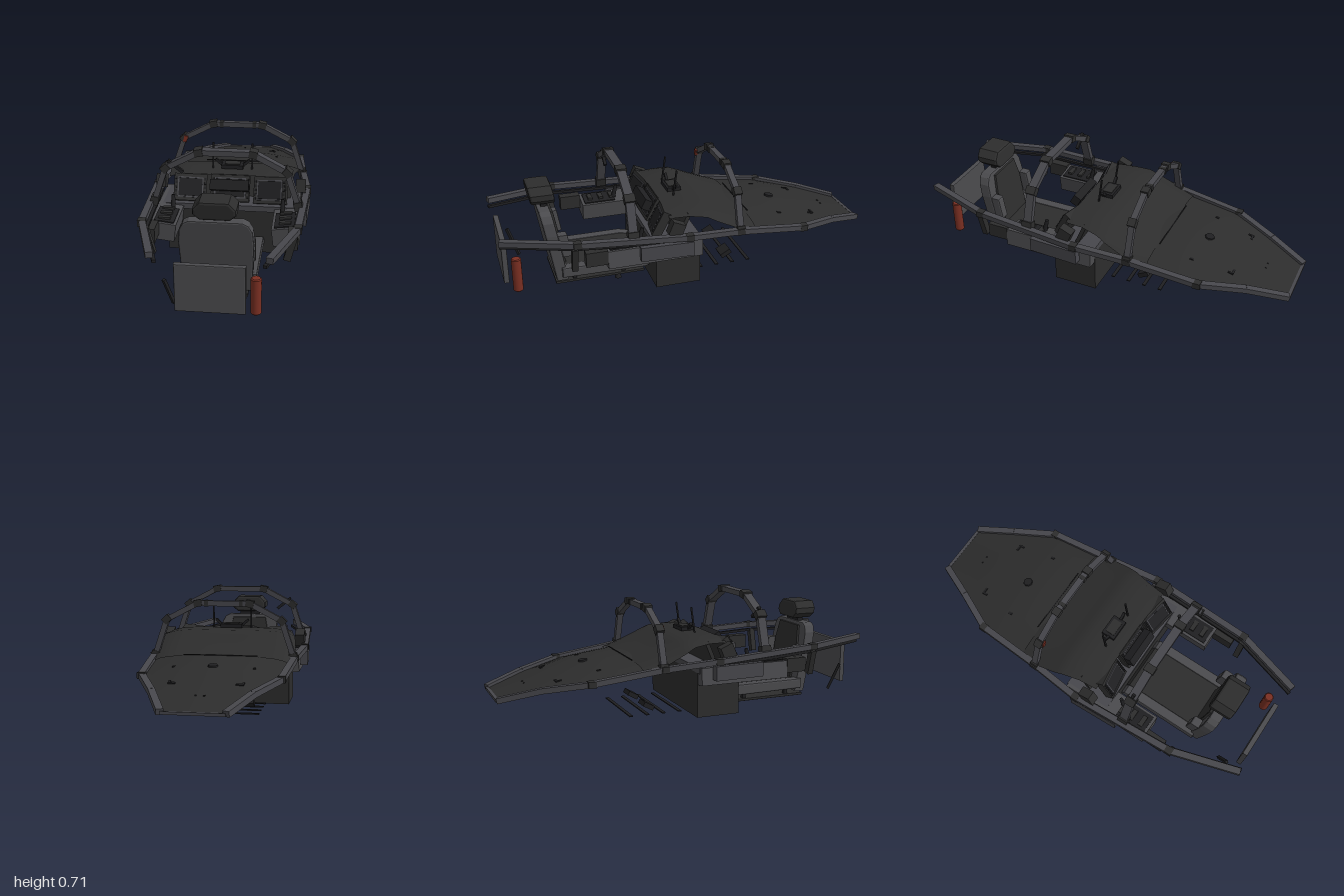
import * as THREE from 'three';

const mat = (name, color) => Object.assign(new THREE.MeshStandardMaterial({ color }), { name });

export function createModel() {
  const root = new THREE.Group();
  root.name = 'cockpit';
  const frame = mat('frame grey', 0x47474c);
  const grey = mat('seat grey', 0x4b4b4e);
  const dark = mat('dark shell', 0x2d2d2d);
  const shell = mat('dark skin', 0x2d2d2d);
  shell.side = THREE.DoubleSide;
  const black = mat('black trim', 0x1f1f21);
  const red = mat('extinguisher red', 0x7a2f22);

  const add = (name, geo, material, x = 0, y = 0, z = 0, rx = 0, ry = 0, rz = 0) => {
    const m = new THREE.Mesh(geo, material);
    m.name = name;
    m.position.set(x, y, z);
    m.rotation.set(rx, ry, rz);
    root.add(m);
    return m;
  };
  const box = (name, material, w, h, d, x, y, z, rx, ry, rz) =>
    add(name, new THREE.BoxGeometry(w, h, d), material, x, y, z, rx, ry, rz);
  const cyl = (name, material, r0, r1, h, x, y, z, rx, rz) =>
    add(name, new THREE.CylinderGeometry(r0, r1, h, 16), material, x, y, z, rx, 0, rz);
  // Box-section bar running between two points
  const beam = (name, material, a, b, w, h) => {
    const A = new THREE.Vector3(...a), B = new THREE.Vector3(...b);
    const m = box(name, material, w, h, A.distanceTo(B), 0, 0, 0);
    m.position.copy(A).add(B).multiplyScalar(0.5);
    m.lookAt(B);
    return m;
  };
  // Crowned skin through stations [z, halfWidth, centreY, edgeY]
  const skin = (name, stations, power) => {
    const N = 16, pos = [], idx = [];
    stations.forEach(([z, w, c, e], i) => {
      for (let j = 0; j <= N; j++) {
        const t = (j / N) * 2 - 1;
        pos.push(t * w, e + (c - e) * (1 - Math.abs(t) ** power), z);
        if (i && j) {
          const p = i * (N + 1) + j, q = p - N - 1;
          idx.push(q - 1, p, q, q - 1, p - 1, p);
        }
      }
    });
    const g = new THREE.BufferGeometry();
    g.setAttribute('position', new THREE.Float32BufferAttribute(pos, 3));
    g.setIndex(idx);
    g.computeVertexNormals();
    return add(name, g, shell);
  };
  const outline = (pts) => new THREE.Shape(pts.map(([x, y]) => new THREE.Vector2(x, y)));
  const mirrorPts = (half) => [...half, ...half.slice().reverse().map(([x, y]) => [-x, y])];
  const extrude = (pts, depth, bevel) => new THREE.ExtrudeGeometry(outline(pts), {
    depth, bevelEnabled: bevel > 0, bevelSize: bevel, bevelThickness: bevel, bevelOffset: -bevel, bevelSegments: 2 });
  const slab = (half, depth, bevel) => extrude(mirrorPts(half), depth, bevel);
  // Side profile in (z, y), swept across the width and centred
  const sweep = (pts, width, bevel) =>
    extrude(pts, width - 2 * bevel, bevel).translate(0, 0, bevel - width / 2).rotateY(-Math.PI / 2);
  const lean = (geo, slope) => {
    const p = geo.attributes.position;
    for (let i = 0; i < p.count; i++) p.setZ(i, p.getZ(i) + slope * p.getY(i));
    geo.computeVertexNormals();
    return geo;
  };

  // Nose skin and dashboard hood
  skin('nosePanel', [[-0.995, 0.145, 0.238, 0.235], [-0.78, 0.235, 0.298, 0.288], [-0.54, 0.335, 0.366, 0.325],
    [-0.4, 0.35, 0.384, 0.34], [-0.24, 0.37, 0.4, 0.355]], 2);
  skin('dashHood', [[-0.3, 0.36, 0.385, 0.352], [-0.2, 0.37, 0.42, 0.385], [-0.08, 0.36, 0.47, 0.44],
    [-0.03, 0.35, 0.49, 0.465], [0.06, 0.33, 0.496, 0.475], [0.16, 0.32, 0.49, 0.472]], 6);
  add('noseCap', new THREE.CylinderGeometry(0.024, 0.026, 0.01, 8), black, 0, 0.372, -0.515, -0.15);
  box('noseSeam', black, 0.38, 0.004, 0.005, 0, 0.394, -0.31);
  for (const s of [-1, 1]) {
    box('noseLatch', black, 0.035, 0.006, 0.012, s * 0.16, 0.316, -0.7, -0.25);
    box('noseLatchTail', black, 0.01, 0.006, 0.03, s * 0.175, 0.317, -0.69, -0.25);
    box('noseClip', black, 0.012, 0.006, 0.02, s * 0.2, 0.359, -0.49, -0.15);
    box('noseBolt', black, 0.008, 0.005, 0.008, s * 0.02, 0.285, -0.83, -0.25);
  }
  // Front cross bar at the tip
  beam('noseTipBar', frame, [-0.145, 0.236, -0.988], [0.145, 0.236, -0.988], 0.016, 0.014);

  // Side rails with sleeves
  const rail = [[0.262, 0.438, 0.997], [0.37, 0.425, 0.64], [0.398, 0.395, 0.08], [0.368, 0.372, -0.2],
    [0.34, 0.325, -0.57], [0.235, 0.291, -0.79], [0.146, 0.24, -0.99]];
  for (const s of [-1, 1]) {
    const at = ([x, y, z], dx = 0, dy = 0) => [s * (x + dx), y + dy, z];
    rail.slice(1).forEach((p, i) => beam('sideRail', frame, at(rail[i]), at(p), 0.034, 0.028));
    rail.slice(0, 2).forEach((p, i) =>
      beam('lowerRail', black, at(p, -0.02, -0.03), at(rail[i + 1], -0.02, -0.03), 0.018, 0.014));
    rail.slice(1, 5).forEach(([x, y, z]) => box('railSleeve', dark, 0.038, 0.032, 0.04, s * x, y, z));

    // Side console, outer fairing, grip box and hanging strut
    box('sideConsole', grey, 0.13, 0.09, 0.49, s * 0.305, 0.307, 0.245, 0, 0, s * 0.12);
    box('consoleTop', black, 0.1, 0.006, 0.17, s * 0.298, 0.355, 0.39, 0, 0, s * 0.12);
    beam('consoleFairing', frame, [s * 0.394, 0.335, 0.06], [s * 0.382, 0.335, 0.33], 0.04, 0.075);
    box('dashSidePod', dark, 0.05, 0.07, 0.07, s * 0.365, 0.438, 0.14, -0.4);
    box('consoleRearBox', dark, 0.05, 0.075, 0.11, s * 0.345, 0.332, 0.545);
    beam('railStrut', dark, [s * 0.355, 0.4, 0.65], [s * 0.322, 0.27, 0.65], 0.03, 0.035);
    for (const z of [0.32, 0.38, 0.44]) box('consoleSwitch', dark, 0.06, 0.012, 0.025, s * 0.3, 0.362, z);
    cyl('controlStick', black, 0.009, 0.013, 0.07, s * 0.28, 0.39, 0.3, -0.25, 0);
  }

  // Roll hoops with corner joints
  const hoop = (name, half, z, w) => {
    const pts = mirrorPts(half);
    pts.slice(1).forEach(([x, y], i) => beam(name, frame, [...pts[i], z], [x, y, z], w, 0.028));
    half.slice(1).forEach(([x, y], i) => [-1, 1].forEach((s) =>
      box(name + 'Joint', dark, 0.042, 0.036, w + 0.01, s * x, y, z, 0, 0, s * (i ? -0.2 : -0.75))));
    for (const s of [-1, 1])
      box(name + 'Foot', dark, 0.042, 0.045, w + 0.01, s * half[0][0], half[0][1], z, 0, 0, s * 0.25);
  };
  hoop('rearHoop', [[0.36, 0.425], [0.302, 0.6], [0.135, 0.688]], 0.36, 0.045);
  hoop('frontHoop', [[0.362, 0.375], [0.3, 0.562], [0.135, 0.648]], -0.205, 0.032);
  for (const s of [-1, 1]) beam('hoopClamp', dark, [s * 0.08, 0.648, -0.205], [s * 0.1, 0.648, -0.205], 0.038, 0.032);
  beam('hoopHandle', black, [-0.29, 0.637, 0.36], [-0.215, 0.577, 0.36], 0.016, 0.016);
  box('hoopRelease', red, 0.02, 0.035, 0.014, -0.292, 0.56, -0.184, 0, 0, -0.3);

  // Central equipment box and dash ledge
  box('equipmentBox', dark, 0.64, 0.265, 0.235, 0, 0.2225, 0.115);
  box('dashLedge', frame, 0.7, 0.03, 0.25, 0, 0.342, 0.12);
  box('dashBackPanel', dark, 0.62, 0.14, 0.02, 0, 0.415, 0.08, -0.4);
  // Instrument screens
  for (const [x, w, ry, z] of [[0, 0.2, 0, 0.17], [-0.21, 0.17, 0.18, 0.18], [0.21, 0.17, -0.18, 0.18]]) {
    const g = new THREE.Group();
    g.name = 'instrumentScreen';
    g.position.set(x, 0.42, z);
    g.rotation.set(-0.5, ry, 0);
    const part = (name, m, W, H, D, px, py, pz) => {
      const b = new THREE.Mesh(new THREE.BoxGeometry(W, H, D), m);
      b.name = name;
      b.position.set(px, py, pz);
      g.add(b);
    };
    part('screenHousing', dark, w, 0.14, 0.045, 0, 0, 0);
    part('screenGlass', black, w - 0.05, 0.09, 0.006, 0, 0, 0.025);
    for (const s of [-1, 1]) {
      part('bezelSide', frame, 0.006, 0.1, 0.008, s * (w / 2 - 0.022), 0, 0.025);
      part('bezelEdge', frame, w - 0.04, 0.006, 0.008, 0, s * 0.05, 0.025);
      for (let i = -2; i <= 2; i++) part('screenKey', black, 0.01, 0.012, 0.008, s * (w / 2 - 0.01), i * 0.022, 0.025);
    }
    root.add(g);
  }
  box('screenVisor', black, 0.2, 0.055, 0.045, 0, 0.455, 0.215, -0.5);

  // Sight mount and its two rods
  box('sightBase', black, 0.115, 0.02, 0.075, 0, 0.508, 0.055);
  box('sightWindow', dark, 0.08, 0.006, 0.05, 0, 0.519, 0.055);
  for (const s of [-1, 1]) {
    beam('sightRod', black, [s * 0.103, 0.49, 0.075], [s * 0.103, 0.63, 0.055], 0.008, 0.008);
    beam('sightArm', black, [s * 0.055, 0.51, 0.06], [s * 0.09, 0.54, 0.06], 0.014, 0.014);
  }

  // Seat: leaning back, side bolsters, cushion and headrest
  const back = [[0.165, 0], [0.176, 0.26], [0.17, 0.33], [0.152, 0.365], [0.125, 0.38]];
  add('seatBack', lean(slab(back, 0.045, 0.008), 0.17), grey, 0, 0.128, 0.665);
  add('seatBackPad', lean(slab([[0.11, 0], [0.12, 0.2], [0.1, 0.3]], 0.016, 0.005), 0.17), dark, 0, 0.19, 0.66);
  const cushion = [[0.69, 0.145], [0.69, 0.2], [0.31, 0.2], [0.25, 0.185], [0.225, 0.15], [0.25, 0.14]];
  add('seatCushion', sweep(cushion, 0.26, 0.004), dark);
  for (const s of [-1, 1]) {
    add('cushionBolster', sweep(cushion, 0.055, 0.008), grey, s * 0.156, 0.003, 0);
    add('backBolster', lean(slab([[0.024, -0.06], [0.024, 0.06]], 0.035, 0.008), 0.17), grey, s * 0.152, 0.327, 0.65);
    add('seatRail', new THREE.CylinderGeometry(0.008, 0.008, 0.47, 10), frame, s * 0.135, 0.104, 0.485, Math.PI / 2);
    for (const z of [0.36, 0.62]) box('seatFoot', black, 0.02, 0.04, 0.02, s * 0.125, 0.128, z);
  }
  box('seatFloorPlate', dark, 0.29, 0.012, 0.47, 0, 0.106, 0.485);
  box('headrestNeck', black, 0.12, 0.04, 0.03, 0, 0.52, 0.745);
  add('headrest', lean(slab([[0.07, -0.045], [0.1, -0.018], [0.1, 0.012], [0.067, 0.048]], 0.1, 0.012), 0.15),
    dark, 0, 0.572, 0.705);

  // Support jack beneath the seat
  cyl('jackFoot', black, 0.009, 0.019, 0.022, 0, 0.011, 0.36);
  cyl('jackRod', frame, 0.005, 0.005, 0.08, 0, 0.055, 0.36);
  add('jackBall', new THREE.SphereGeometry(0.02, 16, 10), black, 0, 0.09, 0.36);

  // Floor slats and pedals
  for (const z of [-0.05, -0.14, -0.23, -0.32]) box('floorSlat', black, 0.4, 0.006, 0.018, 0, 0.1, z);
  for (const s of [-1, 1]) box('pedal', black, 0.08, 0.025, 0.06, s * 0.12, 0.132, -0.208, 0.5);

  // Rear panel, extinguisher and loose lever
  add('rearPanel', slab([[0.16, -0.117], [0.16, 0.117]], 0.018, 0.005), grey, 0, 0.275, 0.962);
  cyl('extinguisher', red, 0.025, 0.025, 0.17, 0.2, 0.222, 0.92);
  cyl('extinguisherTop', red, 0.02, 0.025, 0.005, 0.2, 0.3095, 0.92);
  cyl('extinguisherBase', red, 0.025, 0.02, 0.005, 0.2, 0.1345, 0.92);
  beam('rearLever', black, [-0.217, 0.275, 0.915], [-0.183, 0.13, 0.865], 0.016, 0.014);

  return root;
}
